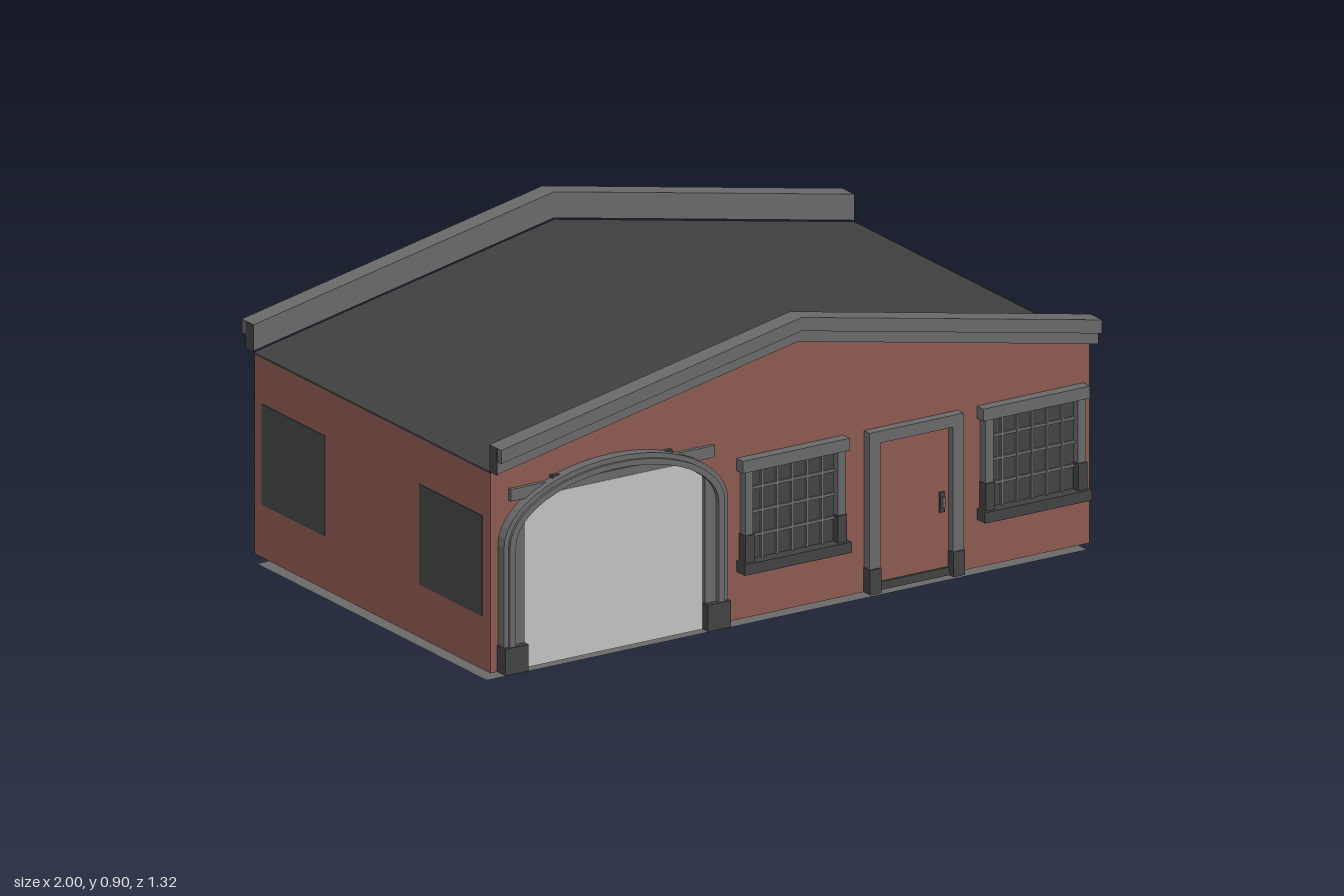
import * as THREE from 'three';

const mat = (name, color, side = THREE.FrontSide) => {
  const m = new THREE.MeshStandardMaterial({ color, side });
  m.name = name;
  return m;
};

export function createModel() {
  const brick = mat('brick', 0x8d5a52, THREE.DoubleSide);
  const trim = mat('trim', 0x6a6a6a);
  const dark = mat('darkStone', 0x424242);
  const glass = mat('glass', 0x434545);
  const roofMat = mat('roofing', 0x404040, THREE.DoubleSide);
  const shutter = mat('shutter', 0xc2c2c2);

  const root = new THREE.Group();
  root.name = 'building';

  // Box given by its extents
  const box = (name, m, x0, x1, y0, y1, z0, z1, parent = root) => {
    const mesh = new THREE.Mesh(new THREE.BoxGeometry(x1 - x0, y1 - y0, z1 - z0), m);
    mesh.position.set((x0 + x1) / 2, (y0 + y1) / 2, (z0 + z1) / 2);
    mesh.name = name;
    parent.add(mesh);
    return mesh;
  };
  // Outline in x, y pushed from z0 to z1
  const slab = (name, m, pts, z0, z1, parent = root) => {
    const shape = new THREE.Shape(pts.map(([x, y]) => new THREE.Vector2(x, y)));
    const geo = new THREE.ExtrudeGeometry(shape, { depth: z1 - z0, bevelEnabled: false });
    geo.translate(0, 0, z0);
    const mesh = new THREE.Mesh(geo, m);
    mesh.name = name;
    parent.add(mesh);
    return mesh;
  };

  const BASE = 0.026, EAVE = 0.62, RISE = 0.2, W = 0.998;

  // Floor: dark underside and a pale upper face
  const plane = (name, m, w, d, y, rx) => {
    const mesh = new THREE.Mesh(new THREE.PlaneGeometry(w, d), m);
    mesh.rotation.x = rx;
    mesh.position.y = y;
    mesh.name = name;
    root.add(mesh);
  };
  plane('floorUnderside', dark, 2, 1.2, 0, Math.PI / 2);
  plane('floor', trim, 2, 1.17, 0.001, -Math.PI / 2);

  // Walls
  const gable = [[-W, BASE], [W, BASE], [W, EAVE], [0, EAVE + RISE], [-W, EAVE]];
  slab('frontWall', brick, gable, 0.59, 0.6);
  slab('backWall', brick, gable, -0.6, -0.59);
  for (const s of [-1, 1]) {
    box(s > 0 ? 'leftWall' : 'rightWall', brick, s * 0.993 - 0.005, s * 0.993 + 0.005, BASE, EAVE, -0.6, 0.6);
  }

  // Pitched band following the roof line
  const chevron = (lo, hi) => [[-1, lo], [0, lo + RISE], [1, lo], [1, hi], [0, hi + RISE], [-1, hi]];
  slab('roof', roofMat, chevron(EAVE - 0.004, EAVE + 0.001), -0.6, 0.6);

  // Stepped parapets with dark end caps
  for (const s of [-1, 1]) {
    const band = (name, lo, hi, out) =>
      slab(name, trim, chevron(lo, hi), Math.min(s * 0.6, s * out), Math.max(s * 0.6, s * out));
    band('parapetLowerBand', 0.625, 0.662, 0.64);
    band('parapetCoping', 0.662, 0.702, 0.66);
    for (const e of [-1, 1]) {
      box('parapetEndCap', dark, e - 0.001, e + 0.001, 0.622, 0.7, s * 0.62 - 0.02, s * 0.62 + 0.02);
    }
  }

  // Framed window with glazing bars, facing +z from z = 0
  const framedWindow = (x, z, ry) => {
    const g = new THREE.Group();
    g.name = 'window';
    g.position.set(x, 0, z);
    g.rotation.y = ry;
    root.add(g);
    box('glass', glass, -0.15, 0.15, 0.2, 0.47, 0, 0.006, g);
    box('lintel', trim, -0.178, 0.178, 0.467, 0.503, 0, 0.033, g);
    box('sill', dark, -0.178, 0.178, 0.168, 0.2, 0, 0.043, g);
    for (const s of [-1, 1]) {
      box('jamb', trim, s * 0.154 - 0.013, s * 0.154 + 0.013, 0.28, 0.467, 0, 0.028, g);
      box('jambBase', dark, s * 0.154 - 0.015, s * 0.154 + 0.015, 0.2, 0.28, 0, 0.032, g);
    }
    for (let i = 0; i < 5; i++) {
      const bx = -0.1 + i * 0.05;
      box('uprightBar', trim, bx - 0.004, bx + 0.004, 0.2, 0.467, 0.004, 0.014, g);
    }
    for (const by of [0.27, 0.34, 0.41]) {
      box('crossBar', trim, -0.141, 0.141, by - 0.004, by + 0.004, 0.004, 0.013, g);
    }
  };
  for (const x of [0, 0.8]) framedWindow(x, 0.6, 0);
  for (const x of [-0.8, 0, 0.8]) framedWindow(x, -0.6, Math.PI);

  // Flush side windows
  const flushWindow = (s, z) =>
    box('sideWindow', glass, s * 0.998 - 0.002, s * 0.998 + 0.002, 0.183, 0.48, z - 0.16, z + 0.16);
  flushWindow(1, 0);
  flushWindow(-1, -0.4);
  flushWindow(-1, 0.4);

  // Entrance door
  const door = new THREE.Group();
  door.name = 'entranceDoor';
  door.position.set(0.403, 0, 0.6);
  root.add(door);
  box('doorLeaf', brick, -0.122, 0.122, BASE, 0.47, 0, 0.005, door);
  box('doorHead', trim, -0.157, 0.157, 0.468, 0.503, 0, 0.03, door);
  for (const s of [-1, 1]) {
    box('doorJamb', trim, s * 0.139 - 0.018, s * 0.139 + 0.018, 0.1, 0.468, 0, 0.03, door);
    box('doorJambBase', dark, s * 0.139 - 0.019, s * 0.139 + 0.019, BASE, 0.1, 0, 0.034, door);
  }
  box('threshold', dark, -0.12, 0.12, BASE, 0.05, 0, 0.012, door);
  box('handlePlate', dark, 0.09, 0.106, 0.215, 0.275, 0.005, 0.01, door);
  box('handle', trim, 0.094, 0.102, 0.23, 0.262, 0.01, 0.02, door);

  // Garage door under an elliptical arch
  const garage = new THREE.Group();
  garage.name = 'garageDoor';
  garage.position.set(-0.6, 0, 0.6);
  root.add(garage);
  const topCurve = (a, b, dir) => Array.from({ length: 25 }, (_, i) => {
    const t = (dir > 0 ? i : 24 - i) / 24 * Math.PI;
    return [a * Math.cos(t), 0.4 + b * Math.sin(t)];
  });
  const band = (name, a, b, a2, b2, depth) => slab(name, trim, [
    [a, BASE], ...topCurve(a, b, 1), [-a, BASE], [-a2, BASE], ...topCurve(a2, b2, -1), [a2, BASE],
  ], 0, depth, garage);
  band('outerArch', 0.373, 0.198, 0.358, 0.183, 0.032);
  band('innerArch', 0.358, 0.183, 0.338, 0.166, 0.04);
  box('archLintel', trim, -0.337, 0.343, 0.525, 0.56, 0, 0.012, garage);
  box('archShadowGap', dark, -0.2, 0.2, 0.55, 0.575, 0, 0.013, garage);
  slab('shutterPanel', shutter, [
    [-0.302, BASE], [0.302, BASE], [0.302, 0.475], [0.285, 0.505], [0.25, 0.527],
    [-0.25, 0.527], [-0.285, 0.505], [-0.302, 0.475],
  ], 0, 0.014, garage);
  for (const s of [-1, 1]) {
    box('archPillar', trim, s * 0.32 - 0.02, s * 0.32 + 0.02, 0.1, 0.475, 0, 0.025, garage);
    box('archPillarBase', dark, s * 0.337 - 0.038, s * 0.337 + 0.038, BASE, 0.105, 0, 0.043, garage);
  }

  return root;
}
